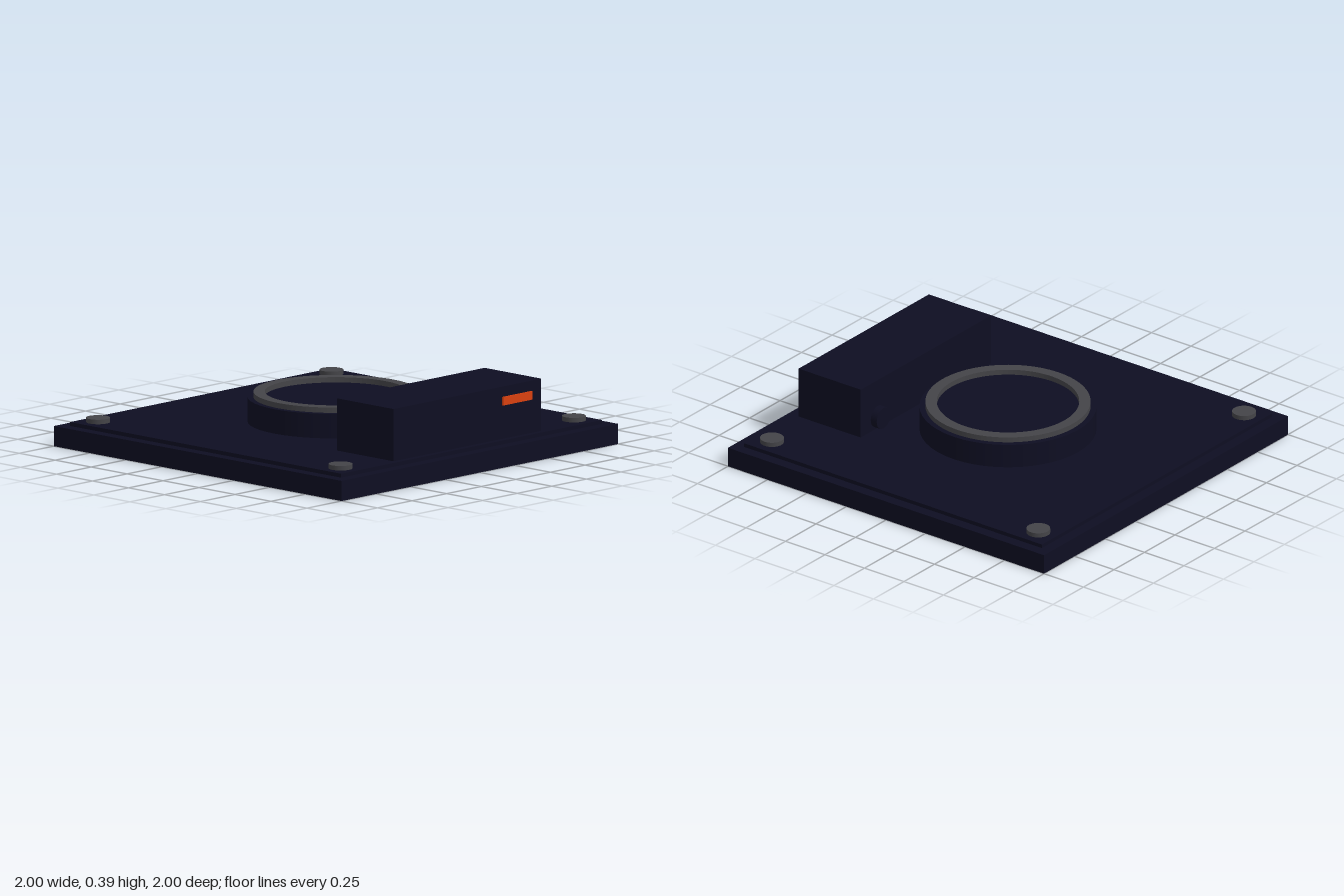
import * as THREE from 'three';

export function createModel() {
  const model = new THREE.Group();
  const material = (name, color) => {
    const m = new THREE.MeshStandardMaterial({ color });
    m.name = name;
    return m;
  };
  const navy = material('dark navy', 0x0e0e22);
  const metal = material('grey metal', 0x444448);
  const orange = material('orange', 0xd9400f);

  const add = (name, geometry, mat, x, y, z) => {
    const mesh = new THREE.Mesh(geometry, mat);
    mesh.name = name;
    mesh.position.set(x, y, z);
    model.add(mesh);
    return mesh;
  };
  const box = (w, h, d) => new THREE.BoxGeometry(w, h, d);
  const disc = (r, h, sides) => new THREE.CylinderGeometry(r, r, h, sides);

  // Stepped base plate
  add('basePlate', box(2, 0.103, 2), navy, 0, 0.0515, 0);
  add('topPlate', box(1.885, 0.021, 1.885), navy, 0, 0.1125, 0);

  // Corner bolts
  for (const x of [-0.843, 0.843]) {
    for (const z of [-0.843, 0.843]) {
      add('bolt', disc(0.06, 0.025, 32), metal, x, 0.1335, z);
    }
  }

  // Round hub with a raised metal ring
  add('hub', disc(0.444, 0.125, 48), navy, 0, 0.1855, 0);
  const ringShape = new THREE.Shape().absarc(0, 0, 0.414, 0, Math.PI * 2, false);
  ringShape.holes.push(new THREE.Path().absarc(0, 0, 0.357, 0, Math.PI * 2, true));
  const ring = new THREE.ExtrudeGeometry(ringShape, {
    depth: 0.027, bevelEnabled: false, curveSegments: 48,
  });
  ring.rotateX(-Math.PI / 2);
  add('hubRing', ring, metal, 0, 0.248, 0);

  // Housing at the front, with its indicator and rear connector
  add('housing', box(1.068, 0.267, 0.393), navy, 0, 0.2565, 0.7165);
  add('indicator', box(0.21, 0.043, 0.009), orange, 0.355, 0.316, 0.9175);
  const connector = add('rearConnector', disc(0.057, 0.04, 24), navy, 0.395, 0.189, 0.502);
  connector.rotation.x = Math.PI / 2;

  return model;
}
